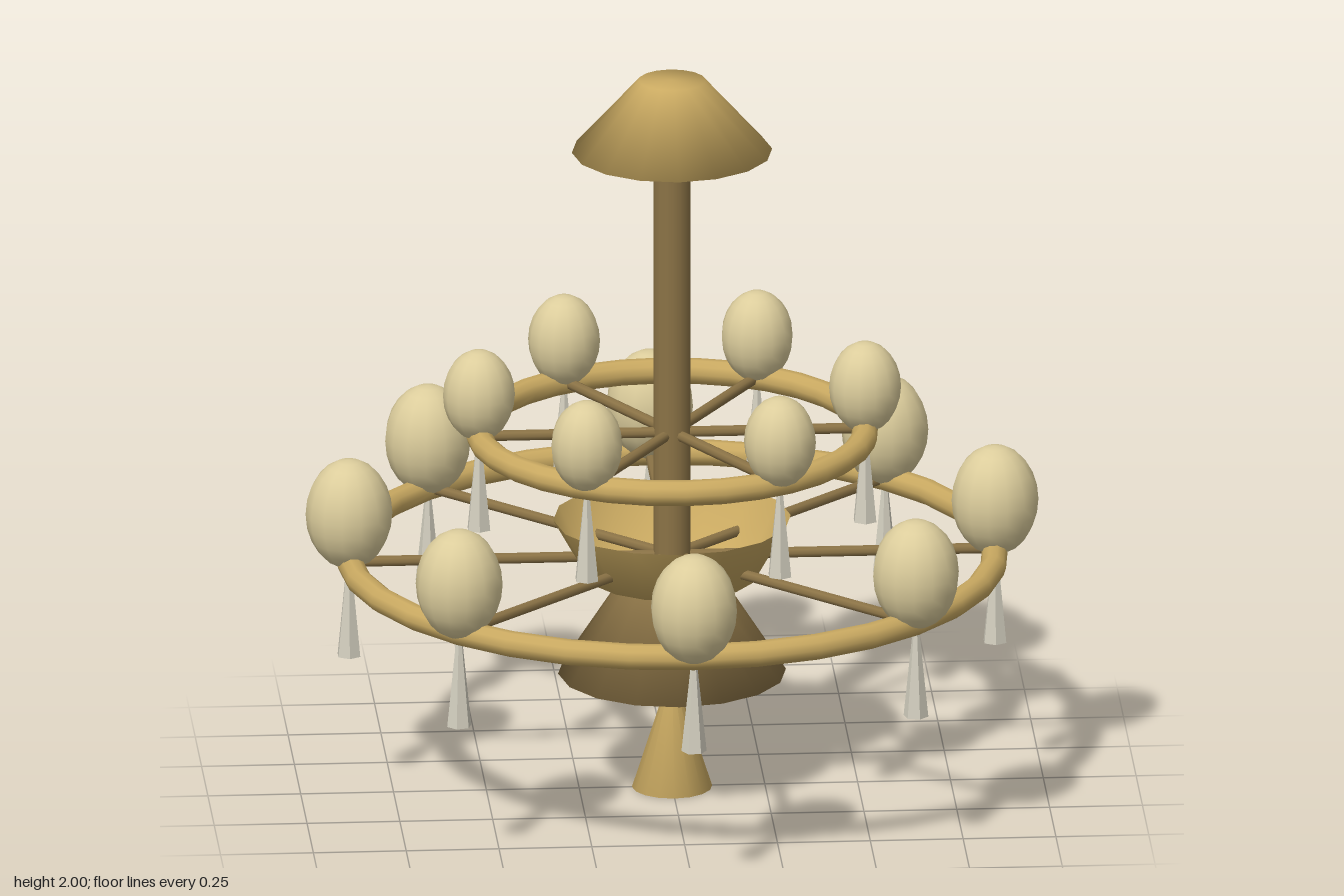
import * as THREE from 'three';

const mat = (name, color, extra = {}) => {
  const m = new THREE.MeshStandardMaterial({ color, ...extra });
  m.name = name;
  return m;
};

export function createModel() {
  const gold = mat('gold', 0xc9a961, { side: THREE.DoubleSide });
  const bronze = mat('bronze', 0x8b7346);
  const glow = mat('warm glass', 0xdccd9c);
  const crystal = mat('crystal', 0xd4d0c0, { flatShading: true });

  const model = new THREE.Group();
  model.name = 'chandelier';
  const add = (parent, name, geometry, material, x = 0, y = 0, z = 0) => {
    const mesh = new THREE.Mesh(geometry, material);
    mesh.name = name;
    mesh.position.set(x, y, z);
    parent.add(mesh);
    return mesh;
  };
  // softly shaded turned part, profile listed from bottom to top
  const turned = (...pts) =>
    new THREE.LatheGeometry(pts.map(([r, y]) => new THREE.Vector2(r, y)), 16);

  // central stack
  add(model, 'canopy', turned([0, 1.8], [0.27, 1.8], [0.09, 2], [0, 2]), gold);
  add(model, 'column', new THREE.CylinderGeometry(0.05, 0.05, 1.2, 16), bronze, 0, 1.2);
  add(model, 'bowl', turned([0, 0.6], [0.23, 0.6], [0.32, 0.76]), gold);
  add(model, 'lowerCone', turned([0, 0.325], [0.307, 0.325], [0.125, 0.605], [0, 0.605]), bronze);
  add(model, 'finial', turned([0, 0], [0.108, 0], [0, 0.335]), gold);

  // a ring with spokes, lamps and hanging drops
  const tier = (name, { count, radius, y, lampR, lampY, dropTop, dropBottom }) => {
    const group = new THREE.Group();
    group.name = name;
    model.add(group);
    const ring = new THREE.TorusGeometry(radius, 0.035, 10, 32).rotateX(Math.PI / 2);
    add(group, 'ring', ring, gold, 0, y);

    const spoke = new THREE.CylinderGeometry(0.015, 0.015, radius, 8).rotateZ(Math.PI / 2);
    spoke.translate(radius / 2, 0, 0);
    const lamp = new THREE.SphereGeometry(lampR, 14, 12).scale(1, 1.3, 1);
    const drop = new THREE.CylinderGeometry(0.008, 0.034, dropTop - dropBottom, 6);

    for (let i = 0; i < count; i++) {
      const arm = new THREE.Group();
      arm.name = 'arm';
      arm.rotation.y = (i / count) * Math.PI * 2;
      group.add(arm);
      add(arm, 'spoke', spoke, bronze, 0, y);
      add(arm, 'lamp', lamp, glow, radius, lampY);
      add(arm, 'crystalDrop', drop, crystal, radius, (dropTop + dropBottom) / 2);
    }
  };
  tier('lowerTier', {
    count: 8, radius: 0.87, y: 0.655, lampR: 0.117, lampY: 0.792, dropTop: 0.64, dropBottom: 0.39,
  });
  tier('upperTier', {
    count: 6, radius: 0.52, y: 1.003, lampR: 0.097, lampY: 1.12, dropTop: 0.985, dropBottom: 0.74,
  });
  return model;
}
